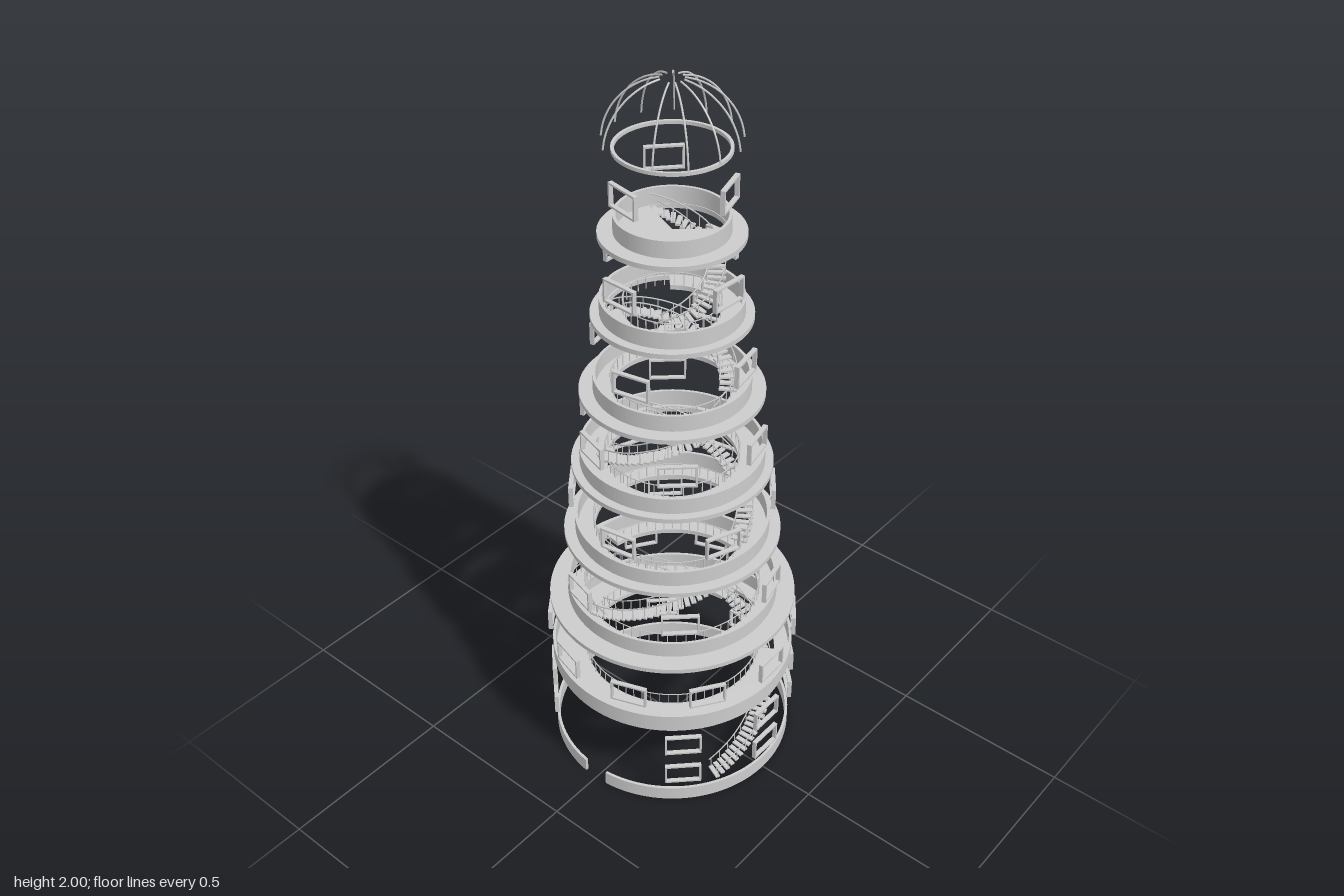
import * as THREE from 'three';
import { mergeGeometries } from 'three/addons/utils/BufferGeometryUtils.js';

const TAU = Math.PI * 2;
const rad = THREE.MathUtils.degToRad;
const grey = new THREE.MeshStandardMaterial({ color: 0xcccccc, side: THREE.DoubleSide });
grey.name = 'light stone grey';

// slab: top height and radius, wall: outer radius, hole: opening radius (0 = wedge only)
const floors = [
  { y: 0.285, slab: 0.335, wall: 0.34, hole: 0.243 },
  { y: 0.505, slab: 0.34, wall: 0.29, hole: 0.238 },
  { y: 0.728, slab: 0.292, wall: 0.262, hole: 0.208 },
  { y: 0.95, slab: 0.265, wall: 0.243, hole: 0.172 },
  { y: 1.173, slab: 0.238, wall: 0.202, hole: 0.152 },
  { y: 1.396, slab: 0.203, wall: 0.18, hole: 0.118 },
  { y: 1.618, slab: 0.18, wall: 0.142, hole: 0 },
];
// outer radius, start and end angle in degrees (from +x towards +z)
const stairs = [
  [0.29, 25, -93], [0.285, -120, -223], [0.255, -247, -358], [0.218, -374, -512],
  [0.198, -570, -727], [0.165, -747, -958], [0.13, -1010, -1235],
];
// centre height, radius, count, first angle in degrees (from +z towards +x)
const windowRows = [
  [0.11, 0.34, 8, 0], [0.222, 0.34, 8, 0], [0.4, 0.341, 10, 20], [0.622, 0.295, 6, -16],
  [0.845, 0.267, 6, 9], [1.065, 0.24, 6, -17], [1.29, 0.205, 4, 11], [1.513, 0.181, 4, -3],
  [1.737, 0.143, 3, -12],
];

function add(parent, name, geometry) {
  const mesh = new THREE.Mesh(geometry, grey);
  mesh.name = name;
  parent.add(mesh);
  return mesh;
}

// Extrudes a plan shape downwards from height top
function flat(shape, top, depth) {
  const g = new THREE.ExtrudeGeometry(shape, { depth, bevelEnabled: false, curveSegments: 72 });
  return g.rotateX(Math.PI / 2).translate(0, top, 0);
}

// Thin circular wall, optionally with a gap at the front
function ringWall(radius, thick, top, height, gap = 0) {
  const s = new THREE.Shape();
  const a = Math.PI / 2 + gap, b = Math.PI / 2 + TAU - gap;
  if (gap) {
    s.absarc(0, 0, radius, a, b, false);
    s.absarc(0, 0, radius - thick, b, a, true);
  } else {
    s.absarc(0, 0, radius, 0, TAU, false);
    s.holes.push(new THREE.Path().absarc(0, 0, radius - thick, 0, TAU, true));
  }
  return flat(s, top, height);
}

// Upright box placed by polar position
function polarBox(sx, sy, sz, r, angle, y) {
  return new THREE.BoxGeometry(sx, sy, sz).translate(r, y, 0).rotateY(-angle);
}

class Helix extends THREE.Curve {
  constructor(r, a0, a1, y0, y1) {
    super();
    Object.assign(this, { r, a0, a1, y0, y1 });
  }
  getPoint(t, out = new THREE.Vector3()) {
    const a = this.a0 + (this.a1 - this.a0) * t;
    return out.set(this.r * Math.cos(a), this.y0 + (this.y1 - this.y0) * t, this.r * Math.sin(a));
  }
}

function buildFloor(f, i) {
  const g = new THREE.Group();
  g.name = 'floor' + (i + 1);
  const [rOut, start, end] = stairs[i];
  const a0 = rad(end), a1 = a0 + rad(start - end) * 0.5;

  // Slab with a round well, widened where the stair arrives
  const s = new THREE.Shape();
  s.absarc(0, 0, f.slab, 0, TAU, false);
  const well = new THREE.Path();
  well.absarc(0, 0, rOut + 0.002, a0, a1, false);
  if (f.hole) well.absarc(0, 0, f.hole, a1, a0 + TAU, false);
  else well.lineTo(0, 0);
  well.closePath();
  s.holes.push(well);
  add(g, 'slab', flat(s, f.y, 0.013));
  add(g, 'parapet', ringWall(f.wall, 0.008, f.y + 0.045, 0.045));

  // Railing round the well
  if (f.hole) {
    const r = f.hole + 0.004, n = Math.round(TAU * r / 0.025), posts = [];
    for (let k = 0; k < n; k++) posts.push(polarBox(0.002, 0.034, 0.002, r, k / n * TAU, f.y + 0.017));
    add(g, 'railingPosts', mergeGeometries(posts));
    add(g, 'railing', new THREE.TorusGeometry(r, 0.002, 4, 72).rotateX(Math.PI / 2).translate(0, f.y + 0.035, 0));
  }
  return g;
}

function buildStair([rOut, start, end], i) {
  const g = new THREE.Group();
  g.name = 'stair' + (i + 1);
  const y0 = i ? floors[i - 1].y : 0, y1 = floors[i].y;
  const a0 = rad(start), a1 = rad(end), width = 0.046;
  const n = i ? 30 : 36, arc = Math.abs(a1 - a0) * (rOut - width / 2) / n;
  const steps = [], posts = [];
  for (let k = 0; k < n; k++) {
    const t = (k + 0.5) / n, a = a0 + (a1 - a0) * t, y = y0 + (y1 - y0) * t;
    steps.push(polarBox(width, 0.005, arc * 0.85, rOut - width / 2, a, y));
    if (k % 2 === 0) {
      for (const r of [rOut - 0.002, rOut - width + 0.002]) {
        posts.push(polarBox(0.002, 0.034, 0.002, r, a, y + 0.017));
      }
    }
  }
  add(g, 'steps', mergeGeometries(steps));
  add(g, 'balusters', mergeGeometries(posts));
  for (const r of [rOut - 0.002, rOut - width + 0.002]) {
    add(g, 'handrail', new THREE.TubeGeometry(new Helix(r, a0, a1, y0 + 0.035, y1 + 0.035), 48, 0.002, 4));
  }
  return g;
}

// Open rectangular window frame
function windowFrame() {
  const w = 0.05, h = 0.031, b = 0.005;
  const rect = (P, x, y) => new P([[-x, -y], [x, -y], [x, y], [-x, y]].map(p => new THREE.Vector2(...p)));
  const s = rect(THREE.Shape, w, h);
  s.holes.push(rect(THREE.Path, w - b, h - b));
  return new THREE.ExtrudeGeometry(s, { depth: 0.012, bevelEnabled: false }).translate(0, 0, -0.006);
}

export function createModel() {
  const model = new THREE.Group();
  model.name = 'tower';

  add(model, 'baseWall', ringWall(0.34, 0.008, 0.047, 0.042, 0.11));
  floors.forEach((f, i) => model.add(buildFloor(f, i)));
  stairs.forEach((s, i) => model.add(buildStair(s, i)));

  // Windows, leaving the entrance side of the two lowest rows free
  const frame = windowFrame();
  windowRows.forEach(([y, r, count, first], row) => {
    for (let k = row < 2 ? 1 : 0; k < count; k++) {
      const a = rad(first) + k / count * TAU;
      const m = add(model, 'windowFrame', frame);
      m.position.set(r * Math.sin(a), y, r * Math.cos(a));
      m.rotation.y = a;
    }
  });

  // Dome ring and curved ribs
  add(model, 'domeRing', ringWall(0.142, 0.008, 1.834, 0.009));
  const pts = [];
  for (let k = 0; k <= 8; k++) {
    const a = rad(6 + k / 8 * 74);
    pts.push(new THREE.Vector3(0.167 * Math.cos(a), 1.83 + 0.17 * Math.sin(a), 0));
  }
  const rib = new THREE.TubeGeometry(new THREE.CatmullRomCurve3(pts), 20, 0.0025, 5);
  for (let k = 0; k < 13; k++) {
    if (k === 3) continue;
    add(model, 'domeRib', rib).rotation.y = -rad(10) - k / 13 * TAU;
  }
  return model;
}
